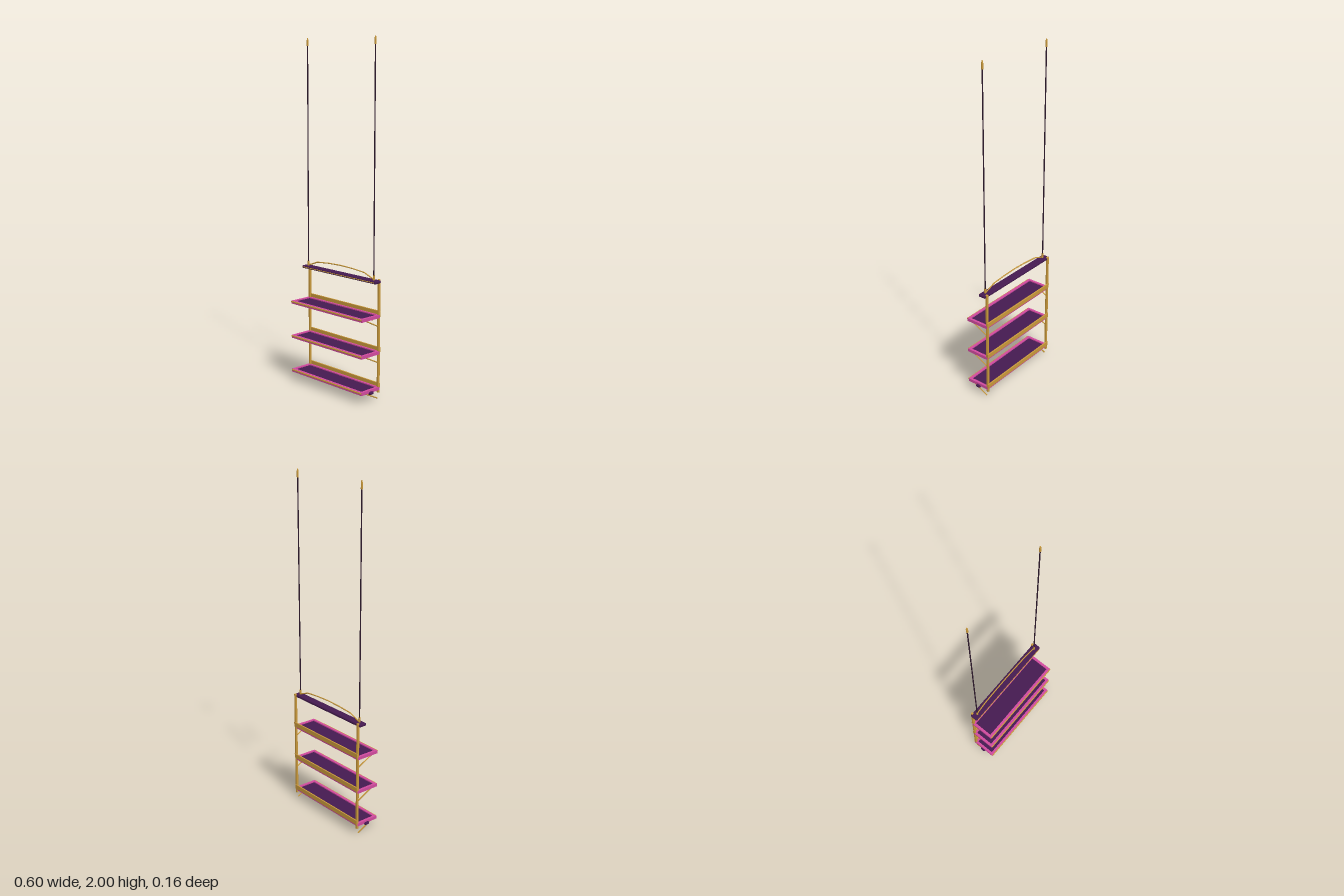
import * as THREE from 'three';
import { RoundedBoxGeometry } from 'three/addons/geometries/RoundedBoxGeometry.js';

const gold = new THREE.MeshStandardMaterial({ color: 0xc9993b });
const pink = new THREE.MeshStandardMaterial({ color: 0xd04a9e });
const purple = new THREE.MeshStandardMaterial({ color: 0x451a50 });
const cord = new THREE.MeshStandardMaterial({ color: 0x2e1a2c });

function add(parent, name, geometry, material, x = 0, y = 0, z = 0) {
  const mesh = new THREE.Mesh(geometry, material);
  mesh.name = name;
  mesh.position.set(x, y, z);
  parent.add(mesh);
  return mesh;
}

const box = (w, h, d) => new THREE.BoxGeometry(w, h, d);
const rod = (r, h, n = 12) => new THREE.CylinderGeometry(r, r, h, n);

// Tray frame: a rectangular rim with an opening, lying flat
function rimGeometry(w, d, border, h) {
  const rect = (Type, a, b) => new Type([
    new THREE.Vector2(-a, -b), new THREE.Vector2(a, -b),
    new THREE.Vector2(a, b), new THREE.Vector2(-a, b),
  ]);
  const shape = rect(THREE.Shape, w / 2, d / 2);
  shape.holes.push(rect(THREE.Path, w / 2 - border, d / 2 - border));
  const g = new THREE.ExtrudeGeometry(shape, { depth: h, bevelEnabled: false });
  return g.rotateX(-Math.PI / 2);
}

function createShelf() {
  const shelf = new THREE.Group();
  shelf.name = 'shelf';
  add(shelf, 'trayBase', box(0.576, 0.008, 0.144), pink, 0, -0.005, 0);
  add(shelf, 'trayRim', rimGeometry(0.576, 0.144, 0.015, 0.01), pink, 0, -0.001, 0);
  add(shelf, 'trayMat', box(0.546, 0.004, 0.114), purple, 0, 0.001, 0);
  add(shelf, 'frontTrim', new RoundedBoxGeometry(0.572, 0.008, 0.008, 2, 0.002), gold, 0, 0.004, 0.0735);
  add(shelf, 'backRail', new RoundedBoxGeometry(0.576, 0.028, 0.008, 2, 0.002), gold, 0, 0.016, -0.0745);

  // Hanging pegs under the tray
  for (const x of [0.253, 0.118, 0.068]) {
    for (const s of [-1, 1]) {
      add(shelf, 'peg', rod(0.003, 0.018, 8), gold, s * x, -0.016, -0.05);
    }
  }

  // Diagonal braces from the posts to the tray underside
  for (const s of [-1, 1]) {
    const from = new THREE.Vector3(s * 0.281, -0.056, -0.062);
    const to = new THREE.Vector3(s * 0.281, -0.008, 0.035);
    add(shelf, 'brace', new THREE.TubeGeometry(new THREE.LineCurve3(from, to), 1, 0.0035, 8), gold);
  }
  return shelf;
}

export function createModel() {
  const model = new THREE.Group();
  model.name = 'hangingShelf';

  // Three trays
  for (let i = 0; i < 3; i++) {
    const shelf = createShelf();
    shelf.position.y = 0.06 + i * 0.208;
    model.add(shelf);
  }

  // Top bar with a thin front trim
  add(model, 'topBar', new RoundedBoxGeometry(0.596, 0.017, 0.048, 3, 0.007), purple, 0, 0.674, -0.045);
  add(model, 'topBarTrim', box(0.576, 0.004, 0.004), gold, 0, 0.674, -0.02);

  // Curved handle over the top bar
  const arch = new THREE.CurvePath();
  const points = [[-0.267, 0.684], [-0.19, 0.713], [-0.095, 0.721], [0, 0.724],
    [0.095, 0.721], [0.19, 0.713], [0.267, 0.684]].map(([x, y]) => new THREE.Vector3(x, y, -0.046));
  for (let i = 1; i < points.length; i++) arch.add(new THREE.LineCurve3(points[i - 1], points[i]));
  add(model, 'archHandle', new THREE.TubeGeometry(arch, 48, 0.0035, 8), gold);

  // Posts, cords with end fittings, and bottom knobs on both sides
  for (const s of [-1, 1]) {
    add(model, 'post', new RoundedBoxGeometry(0.013, 0.65, 0.013, 2, 0.002), gold, s * 0.281, 0.361, -0.069);
    add(model, 'cord', rod(0.0035, 1.28), cord, s * 0.265, 1.325, -0.044);
    add(model, 'lowerFitting', rod(0.006, 0.03), gold, s * 0.265, 0.695, -0.044);
    add(model, 'upperFitting', rod(0.0055, 0.03), gold, s * 0.265, 1.97, -0.044);
    add(model, 'upperTip', new THREE.CylinderGeometry(0.003, 0.0055, 0.015, 12), gold, s * 0.265, 1.9925, -0.044);
    add(model, 'bottomKnob', new RoundedBoxGeometry(0.032, 0.018, 0.032, 4, 0.0085), purple, s * 0.282, 0.05, -0.003);
  }
  return model;
}
